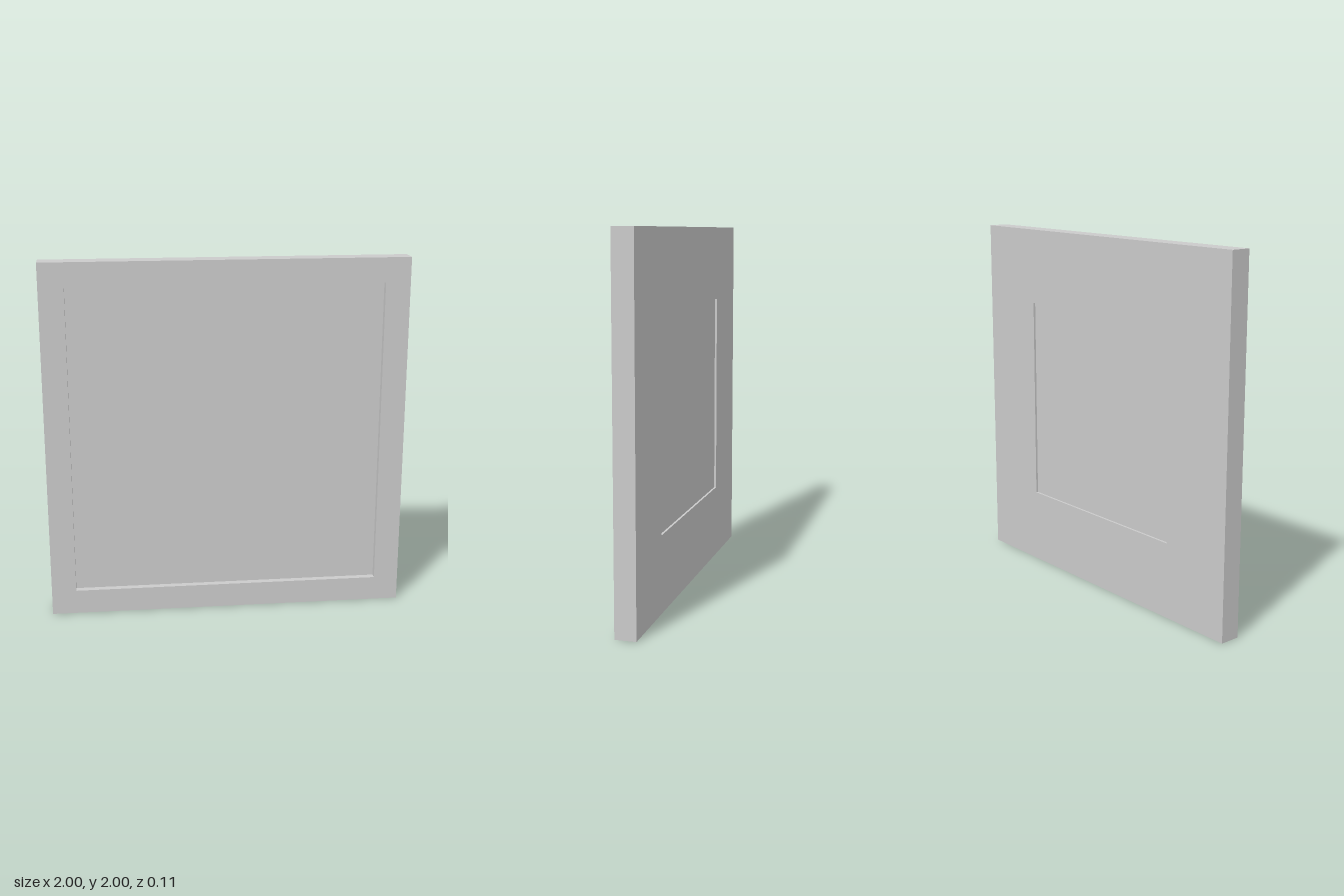
import * as THREE from 'three';

// Half-widths and depths of the square panel and its two recesses
const HALF = 1, FRONT_HALF = 0.863, BACK_HALF = 0.577;
const Z = 0.057, FRONT_DEPTH = 0.037, BACK_DEPTH = 0.012;

// Closed square solid: a four-sided lathe of (half-width, z) steps from back to front
function squareSolid(steps) {
  const points = steps.map(([half, z]) => new THREE.Vector2(half * Math.SQRT2, z));
  const geometry = new THREE.LatheGeometry(points, 4, Math.PI / 4).toNonIndexed();
  geometry.rotateX(Math.PI / 2);
  geometry.computeVertexNormals();
  return geometry;
}

export function createModel() {
  const group = new THREE.Group();
  group.name = 'squarePanel';

  const panel = new THREE.Mesh(
    squareSolid([
      // back recess
      [0, -Z + BACK_DEPTH],
      [BACK_HALF, -Z + BACK_DEPTH],
      [BACK_HALF, -Z],
      // outer edge
      [HALF, -Z],
      [HALF, Z],
      // front rim and recess
      [FRONT_HALF, Z],
      [FRONT_HALF, Z - FRONT_DEPTH],
      [0, Z - FRONT_DEPTH],
    ]),
    new THREE.MeshStandardMaterial({ color: 0xcccccc, flatShading: true })
  );
  panel.name = 'recessedPanel';
  panel.position.y = HALF;
  group.add(panel);

  return group;
}
